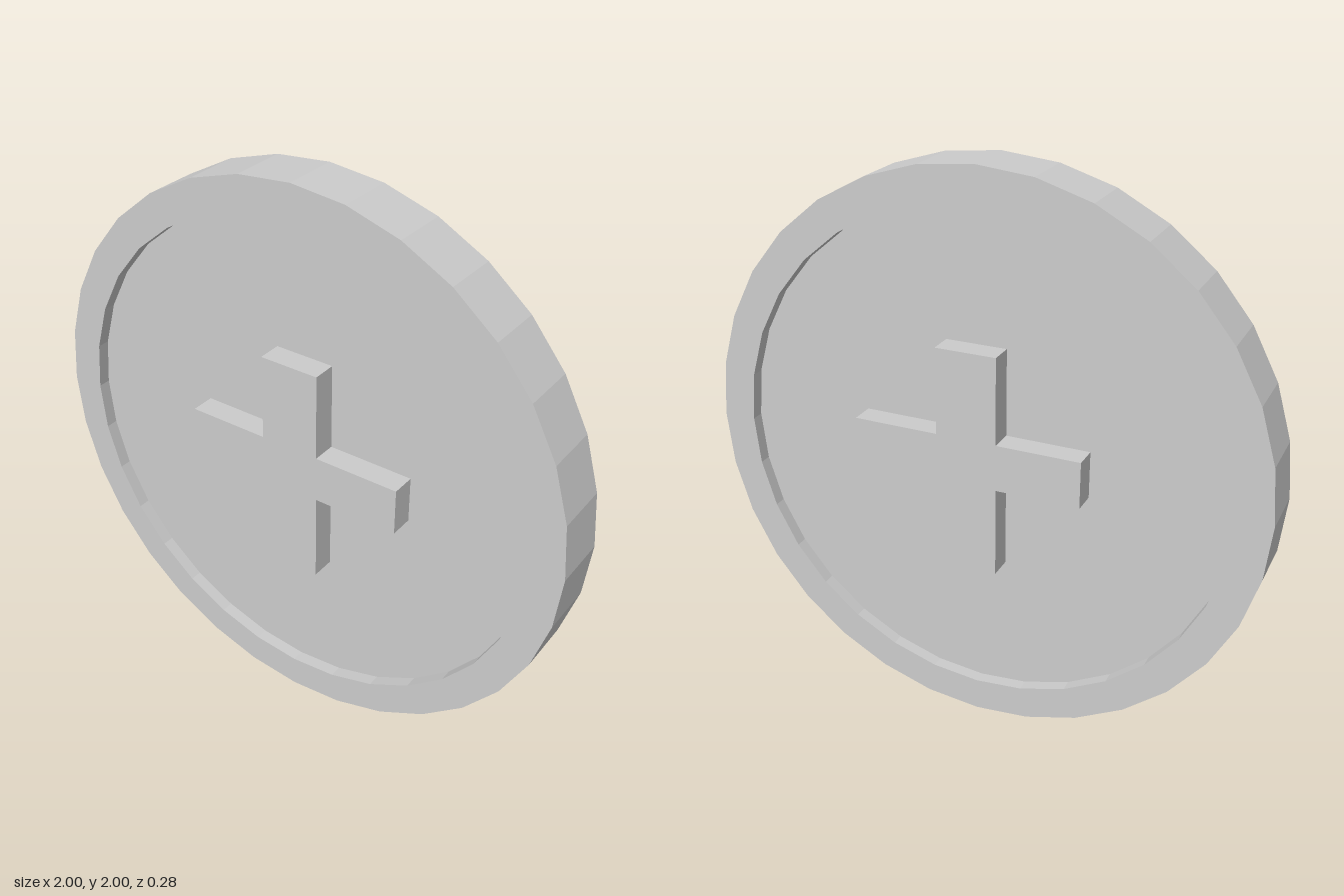
import * as THREE from 'three';

const SIDES = 32;
const OUTER = 1, INNER = 0.88;
const RIM_HALF = 0.1, FLOOR_HALF = 0.055, CROSS_HALF = 0.14;

export function createModel() {
  const group = new THREE.Group();
  const material = new THREE.MeshStandardMaterial({ color: 0xcccccc, flatShading: true });

  function add(name, geometry) {
    const mesh = new THREE.Mesh(geometry, material);
    mesh.name = name;
    group.add(mesh);
  }

  // Raised rim: a closed rectangular section turned around the disc axis
  const section = [
    [INNER, -RIM_HALF], [OUTER, -RIM_HALF], [OUTER, RIM_HALF],
    [INNER, RIM_HALF], [INNER, -RIM_HALF],
  ].map(([r, h]) => new THREE.Vector2(r, h));
  add('rim', new THREE.LatheGeometry(section, SIDES).rotateX(Math.PI / 2).translate(0, 1, 0));

  // Recessed disc, sunk equally on both faces
  add('disc', new THREE.CylinderGeometry(INNER, INNER, FLOOR_HALF * 2, SIDES)
    .rotateX(Math.PI / 2).translate(0, 1, 0));

  // Cross passing through the disc and standing proud of both faces
  const x = [-0.385, -0.09, 0.125, 0.43];
  const y = [0.62, 0.94, 1.105, 1.41];
  const outline = [
    [x[1], y[0]], [x[2], y[0]], [x[2], y[1]], [x[3], y[1]],
    [x[3], y[2]], [x[2], y[2]], [x[2], y[3]], [x[1], y[3]],
    [x[1], y[2]], [x[0], y[2]], [x[0], y[1]], [x[1], y[1]],
  ].map(([px, py]) => new THREE.Vector2(px, py));
  add('cross', new THREE.ExtrudeGeometry(new THREE.Shape(outline), {
    depth: CROSS_HALF * 2, bevelEnabled: false,
  }).translate(0, 0, -CROSS_HALF));

  return group;
}
